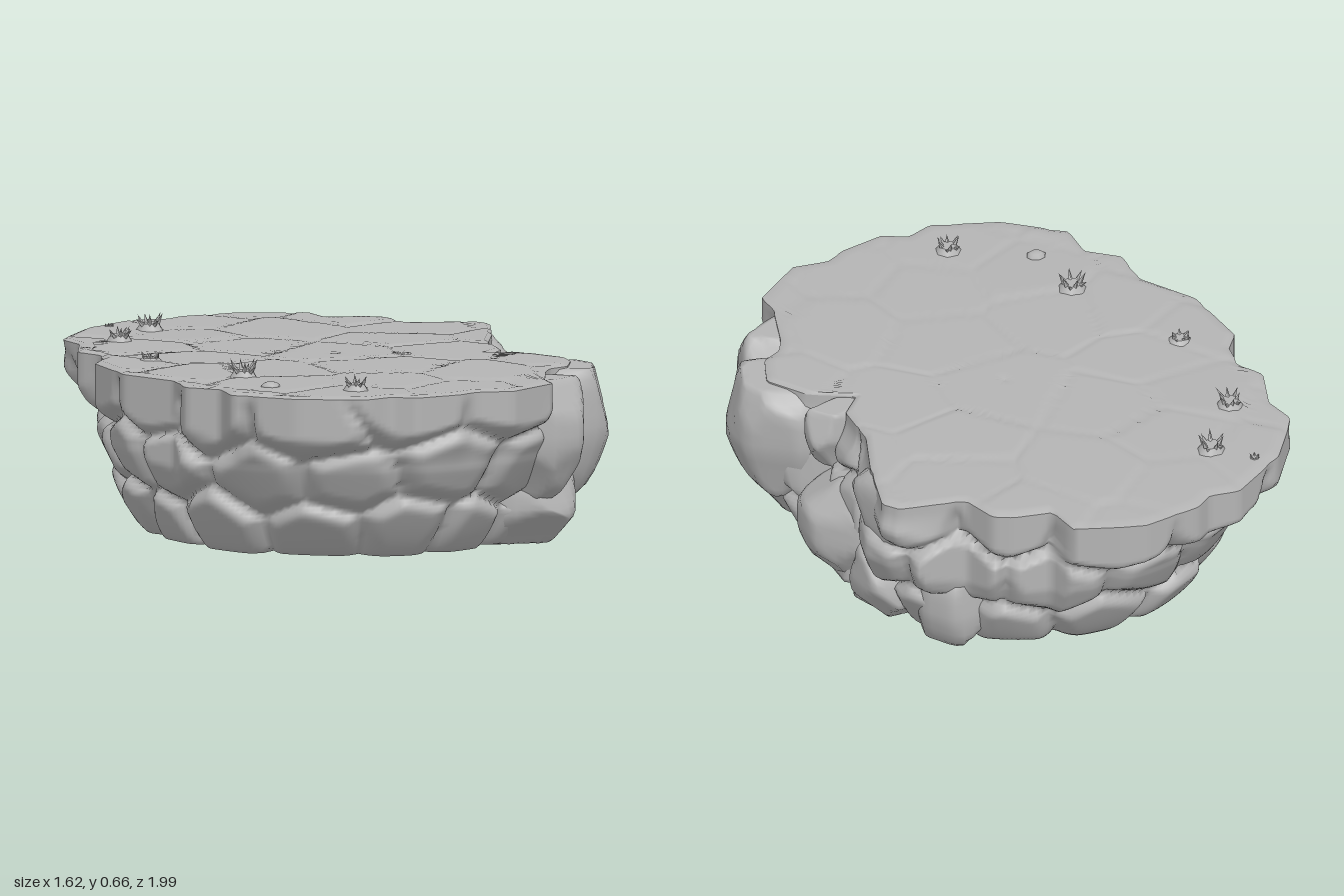
import * as THREE from 'three';

const SEG = 320, TAU = Math.PI * 2, TOP = 0.585;

// Plateau outline as [x, z], starting at the back and running along the right side
const RIM = [
  [-0.08, -1], [0, -0.98], [0.15, -0.93], [0.17, -0.81], [0.3, -0.79], [0.36, -0.76], [0.4, -0.64], [0.49, -0.62],
  [0.62, -0.6], [0.66, -0.55], [0.61, -0.33], [0.55, -0.15], [0.55, 0.02], [0.48, 0.1], [0.62, 0.17], [0.71, 0.3],
  [0.67, 0.42], [0.6, 0.46], [0.57, 0.52], [0.52, 0.7], [0.53, 0.78], [0.36, 0.92], [0.24, 0.91], [0.18, 0.95],
  [0.02, 0.99], [-0.06, 0.95], [-0.15, 0.99], [-0.37, 0.92], [-0.55, 0.78], [-0.55, 0.65], [-0.65, 0.57],
  [-0.65, 0.42], [-0.77, 0.24], [-0.8, -0.02], [-0.75, -0.09], [-0.74, -0.2], [-0.79, -0.28], [-0.74, -0.45],
  [-0.77, -0.57], [-0.64, -0.77], [-0.44, -0.92], [-0.34, -0.91], [-0.28, -0.96],
];

function seeded(seed) {
  return () => {
    seed = (seed * 1664525 + 1013904223) >>> 0;
    return seed / 4294967296;
  };
}
const { smoothstep: smooth, lerp, clamp } = THREE.MathUtils;

// Radius of the outline where a ray at the given angle crosses it
function rimRadius(a) {
  const dx = Math.cos(a), dz = Math.sin(a);
  let best = 0;
  RIM.forEach(([x1, z1], i) => {
    const [x2, z2] = RIM[(i + 1) % RIM.length];
    const c1 = dx * z1 - dz * x1, c2 = dx * z2 - dz * x2;
    if (c1 * c2 > 0 || c1 === c2) return;
    const t = c1 / (c1 - c2);
    best = Math.max(best, dx * lerp(x1, x2, t) + dz * lerp(z1, z2, t));
  });
  return best;
}
const ellipse = (a, rx, rz) => 1 / Math.hypot(Math.cos(a) / rx, Math.sin(a) / rz);

// Nearest stone and the distance to its seam; stretch makes courses more distinct
function cellAt(cells, u, v, wrap, stretch) {
  let d1 = 9, d2 = 9, cell = null;
  for (const c of cells) {
    let du = Math.abs(u - c.u);
    if (wrap) du = Math.min(du, wrap - du);
    const d = Math.hypot(du, (v - c.v) * stretch);
    if (d < d1) { d2 = d1; d1 = d; cell = c; } else if (d < d2) d2 = d;
  }
  return { cell, seam: d2 - d1 };
}

// Closed rings of points, joined bottom to top and then inward
function ringSurface(rows, point) {
  const pos = [], index = [];
  for (let j = 0; j <= rows; j++)
    for (let i = 0; i < SEG; i++) pos.push(...point((i / SEG) * TAU, j / rows));
  for (let j = 0; j < rows; j++)
    for (let i = 0; i < SEG; i++) {
      const k = (i + 1) % SEG, a = j * SEG + i, b = j * SEG + k;
      index.push(a, a + SEG, b, b, a + SEG, b + SEG);
    }
  const g = new THREE.BufferGeometry();
  g.setAttribute('position', new THREE.Float32BufferAttribute(pos, 3));
  g.setIndex(index);
  g.computeVertexNormals();
  return g;
}

// Rounded block with chipped planes, narrowing downward, cut flat at the given height
function blockGeometry(half, taper, cut, rnd) {
  const g = new THREE.SphereGeometry(1, 32, 24);
  const p = g.attributes.position, v = new THREE.Vector3();
  const chips = Array.from({ length: 12 }, () => ({
    n: new THREE.Vector3(rnd() - 0.5, rnd() - 0.5, rnd() - 0.5).normalize(), d: 0.9 + rnd() * 0.15,
  }));
  for (let i = 0; i < p.count; i++) {
    v.fromBufferAttribute(p, i);
    v.multiplyScalar((Math.abs(v.x) ** 4 + Math.abs(v.y) ** 4 + Math.abs(v.z) ** 4) ** -0.25);
    for (const { n, d } of chips) v.addScaledVector(n, -Math.max(0, v.dot(n) - d));
    const w = 1 - taper * Math.max(0, -v.y - 0.1);
    p.setXYZ(i, v.x * half[0] * w, Math.min(v.y * half[1], cut), v.z * half[2] * w);
  }
  g.computeVertexNormals();
  return g;
}

export function createModel() {
  const group = new THREE.Group();
  const stone = new THREE.MeshStandardMaterial({ color: 0xb4b4b4 });
  stone.name = 'grey stone';
  const add = (name, geometry, parent = group) => {
    const m = new THREE.Mesh(geometry, stone);
    m.name = name;
    parent.add(m);
    return m;
  };
  const rnd = seeded(11);
  const ARC = 0.78;

  // Three staggered courses of stones
  const wall = [];
  [0.1, 0.3, 0.51].forEach((v, row) => {
    for (let i = 0; i < 16; i++) {
      const a = ((i + row * 0.5 + (rnd() - 0.5) * 0.4 + 16) % 16) / 16 * TAU;
      wall.push({ u: a * ARC, v: v + (rnd() - 0.5) * 0.07, out: rnd(), tu: rnd() - 0.5, tv: rnd() - 0.3 });
    }
  });

  const sideRadius = (a, y) => {
    const rim = rimRadius(a);
    const rightSide = smooth(Math.cos(a), 0.5, 0.8);
    const mid = Math.min(ellipse(a, 0.75, 0.89), rim - 0.015 + 0.05 * rightSide);
    const foot = ellipse(a, 0.6, 0.69);
    const low = lerp(foot, mid, Math.pow(clamp((y - 0.03) / 0.3, 0, 1), 0.8));
    const base = lerp(low, rim, smooth(y, 0.32, 0.52));
    const { cell, seam } = cellAt(wall, a * ARC, y, TAU * ARC, 1.4);
    let du = a * ARC - cell.u;
    du -= Math.round(du / (TAU * ARC)) * TAU * ARC;
    const bulge = 0.065 * Math.sqrt(smooth(seam, -0.01, 0.13)) - 0.052 + 0.025 * cell.out
      + 0.12 * cell.tu * du + 0.2 * cell.tv * (y - cell.v);
    const fade = 1 - 0.85 * smooth(y, 0.5, 0.58);
    return Math.min(base + bulge * fade, rim + 0.06 * rightSide * (1 - smooth(y, 0.4, 0.56)));
  };
  const discRadius = a => ellipse(a, 0.54, 0.62);

  // Rocky sides, curling under to meet the flat underside
  add('rockSides', ringSurface(46, (a, t) => {
    const s = t * 46 - 4;
    const y = s < 0 ? 0.03 + 0.008 * Math.abs(s / 4) : 0.03 + (TOP - 0.03) * s / 42;
    const r = s < 0 ? lerp(sideRadius(a, 0.03), discRadius(a), -s / 4) : sideRadius(a, y);
    return [r * Math.cos(a), y, r * Math.sin(a)];
  }));

  // Flat underside
  add('underside', ringSurface(1, (a, t) => {
    const r = discRadius(a) * t;
    return [r * Math.cos(a), 0.038, r * Math.sin(a)];
  }));

  // Plateau of worn flagstones
  const flags = [];
  for (let x = -3; x <= 3; x++)
    for (let z = -4; z <= 4; z++)
      flags.push({ u: (x + (z & 1) * 0.5 + (rnd() - 0.5) * 0.6) * 0.4, v: (z + (rnd() - 0.5) * 0.5) * 0.27, h: rnd(), s: rnd() - 0.5 });
  add('plateau', ringSurface(40, (a, t) => {
    const r = sideRadius(a, TOP) * (1 - t);
    const x = r * Math.cos(a), z = r * Math.sin(a);
    const { cell, seam } = cellAt(flags, x, z, 0, 1);
    const y = 0.586 + 0.004 * smooth(seam, 0, 0.04) + 0.006 * cell.h + 0.03 * cell.s * (z - cell.v);
    return [x, t === 0 ? TOP : t === 1 ? 0.59 : y, z];
  }));

  // Large blocks stacked on the broken right side: [centre, half size, turn, taper]
  [
    [[0.59, 0.39, 0.33], [0.22, 0.25, 0.17], 0.15, 0.35],
    [[0.52, 0.4, 0.59], [0.155, 0.22, 0.13], -0.25, 0.25],
    [[0.49, 0.15, 0.41], [0.2, 0.14, 0.21], -0.2, 0.2],
    [[0.52, 0.19, -0.03], [0.18, 0.17, 0.18], 0.05, 0.2],
    [[0.49, 0.16, -0.31], [0.17, 0.14, 0.14], 0.2, 0.2],
    [[0.36, 0.15, -0.48], [0.17, 0.155, 0.14], 0.6, 0.2],
    [[0.5, 0.44, -0.4], [0.15, 0.19, 0.19], 0.15, 0.3],
    [[0.55, 0.49, 0.08], [0.11, 0.13, 0.06], 0.1, 0.3],
  ].forEach(([centre, half, turn, taper], i) => {
    const block = add('sideBlock' + (i + 1), blockGeometry(half, taper, TOP - 0.005 - centre[1], rnd));
    block.position.set(...centre);
    block.rotation.y = turn;
  });

  // Small spiky tufts along the left edge: [x, z, radius, height]
  [
    [-0.45, -0.66, 0.052, 0.055], [-0.61, -0.43, 0.05, 0.055], [-0.62, 0.01, 0.045, 0.03],
    [-0.42, 0.44, 0.052, 0.055], [-0.14, 0.81, 0.048, 0.05], [-0.56, -0.76, 0.022, 0.015],
  ].forEach(([x, z, r, h], t) => {
    const tuft = new THREE.Group();
    tuft.name = 'tuft' + (t + 1);
    tuft.position.set(x, 0.59, z);
    group.add(tuft);
    add('tuftBase', new THREE.CylinderGeometry(r * 0.6, r * 0.95, h * 0.5, 7), tuft).position.y = h * 0.2;
    for (let i = 0; i < 9; i++) {
      const lean = i % 2 ? 0.9 : 0.45, size = 0.6 + rnd() * 0.4;
      const g = new THREE.ConeGeometry(r * 0.2, h * size, 4).translate(0, h * size * 0.5, 0);
      const leaf = add('tuftLeaf', g.rotateZ(-lean).translate(r * 0.4, h * 0.25, 0), tuft);
      leaf.rotation.y = (i / 9) * TAU + rnd() * 0.4;
    }
  });

  // Flat pebble near the front
  const pebble = add('pebble', new THREE.SphereGeometry(1, 8, 5));
  pebble.position.set(-0.39, 0.592, 0.67);
  pebble.scale.set(0.034, 0.018, 0.03);

  return group;
}
